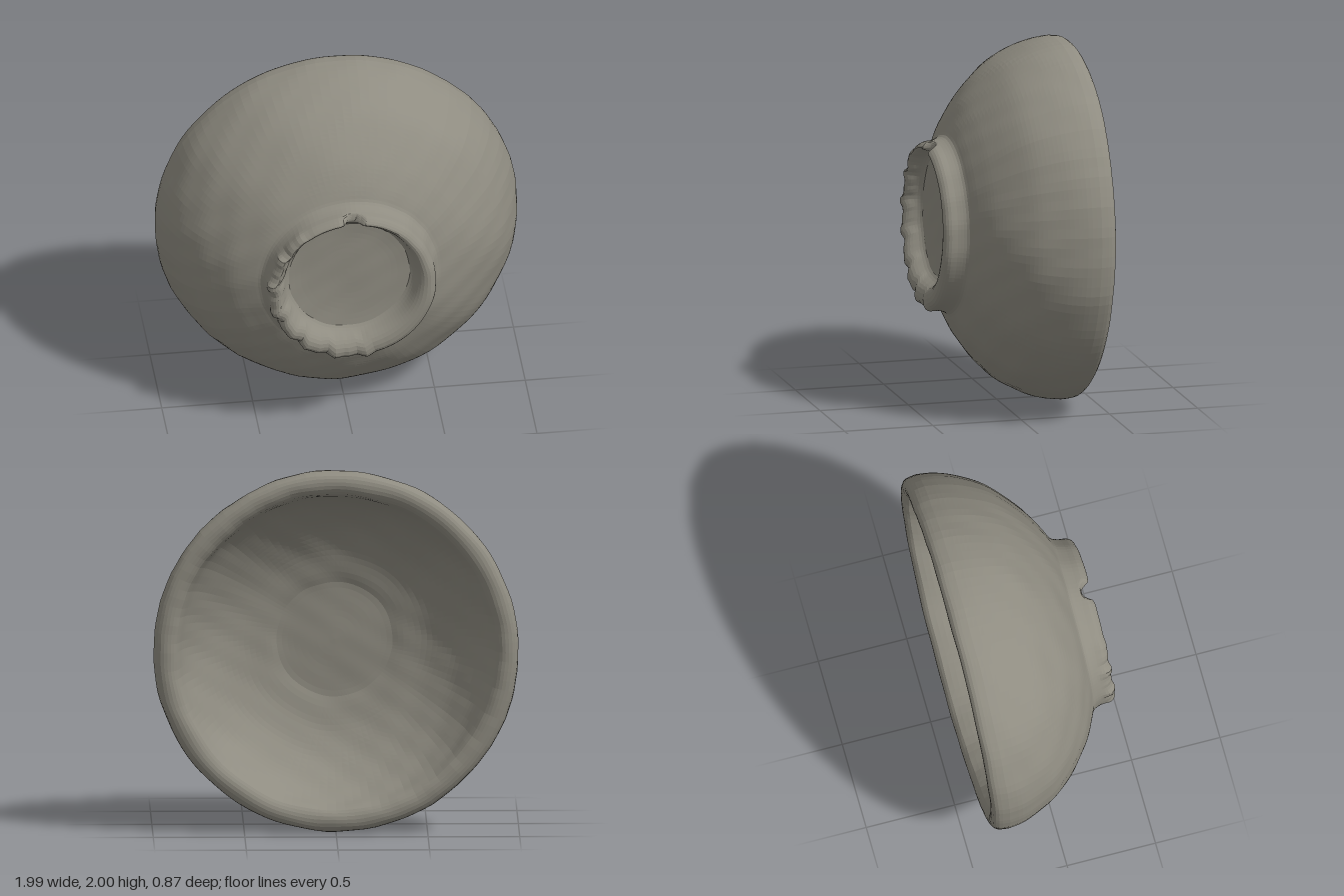
import * as THREE from 'three';

// Smooth repeatable lumps for a hand-thrown clay surface
function lumps(x, y, z) {
  return Math.sin(9 * x + 4 * y + 2 * z) * Math.cos(8 * y - 5 * z + 1) * 0.6
    + Math.sin(23 * x - 17 * y + 11 * z) * Math.sin(19 * y + 13 * z) * 0.4;
}

// Turns a profile of [radius, z] points about the z axis, then shapes each vertex by a rule
function turned(name, profile, steps, material, shape) {
  const curve = new THREE.SplineCurve(profile.map(([r, z]) => new THREE.Vector2(r, z)));
  const points = curve.getSpacedPoints(steps);
  points.forEach((p) => { p.x = Math.max(p.x, 0); });
  const geometry = new THREE.LatheGeometry(points, 112);
  geometry.rotateX(Math.PI / 2);
  const pos = geometry.attributes.position;
  const v = new THREE.Vector3();
  for (let i = 0; i < pos.count; i++) {
    v.fromBufferAttribute(pos, i);
    if (shape) shape(v);
    const n = lumps(v.x, v.y, v.z) * 0.006;
    const r = Math.hypot(v.x, v.y);
    const k = r > 0.05 ? 1 + n / Math.max(r, 0.3) : 1;
    v.x *= k;
    v.y *= k;
    v.z += n * 0.6 - 0.022 * v.y; // slight lean of the whole bowl
    pos.setXYZ(i, v.x, v.y + 1, v.z);
  }
  geometry.computeVertexNormals();
  const mesh = new THREE.Mesh(geometry, material);
  mesh.name = name;
  return mesh;
}

// Worn foot ring: off-centre recess, chipped left half and a notch at the top
function wearFoot(v) {
  const r = Math.hypot(v.x, v.y);
  const a = Math.atan2(v.y, v.x);
  const inner = THREE.MathUtils.smoothstep(0.45 - r, 0, 0.1);
  const crest = THREE.MathUtils.smoothstep(v.z, 0.33, 0.41);
  v.y += 0.04 * inner;
  v.x -= 0.012 * inner;
  const chipped = THREE.MathUtils.smoothstep(-Math.cos(a - 0.5), -0.1, 0.5);
  const chips = Math.sin(a * 17) * 0.6 + Math.sin(a * 31 + 1) * 0.4;
  const k = 1 + chips * 0.03 * chipped * crest;
  v.x *= k;
  v.y *= k;
  v.z += chips * 0.008 * chipped * crest;
  const notch = Math.exp(-Math.pow((a - 1.55) / 0.11, 4));
  if (v.z > 0.35) v.z -= (v.z - 0.35) * 0.8 * notch;
}

export function createModel() {
  const clay = new THREE.MeshStandardMaterial({ color: 0x8f8c81 });
  clay.name = 'grey clay';
  clay.flatShading = true;

  const bowl = new THREE.Group();
  bowl.name = 'bowl';

  // Hollow with a low turning ridge in its floor, ending at the lip
  bowl.add(turned('interior', [
    [0, 0.14], [0.15, 0.145], [0.3, 0.145], [0.36, 0.13], [0.5, 0.09], [0.64, 0.01],
    [0.76, -0.11], [0.83, -0.23], [0.86, -0.34], [0.875, -0.385],
  ], 36, clay));

  // Thick rounded rim
  bowl.add(turned('rim', [
    [0.875, -0.385], [0.9, -0.405], [0.935, -0.412], [0.97, -0.402], [0.99, -0.375], [0.997, -0.32],
  ], 10, clay));

  // Rounded outer wall
  bowl.add(turned('outerWall', [
    [0.997, -0.32], [0.985, -0.24], [0.95, -0.135], [0.88, -0.005], [0.79, 0.095],
    [0.68, 0.185], [0.58, 0.245], [0.52, 0.275],
  ], 32, clay));

  // Foot ring and the recess inside it
  bowl.add(turned('footRing', [
    [0.52, 0.275], [0.485, 0.295], [0.468, 0.34], [0.46, 0.39], [0.435, 0.417],
    [0.405, 0.418], [0.38, 0.395], [0.355, 0.345], [0.335, 0.325],
  ], 20, clay, wearFoot));
  bowl.add(turned('footRecess', [
    [0.335, 0.325], [0.25, 0.318], [0.12, 0.315], [0, 0.315],
  ], 10, clay, wearFoot));

  return bowl;
}
